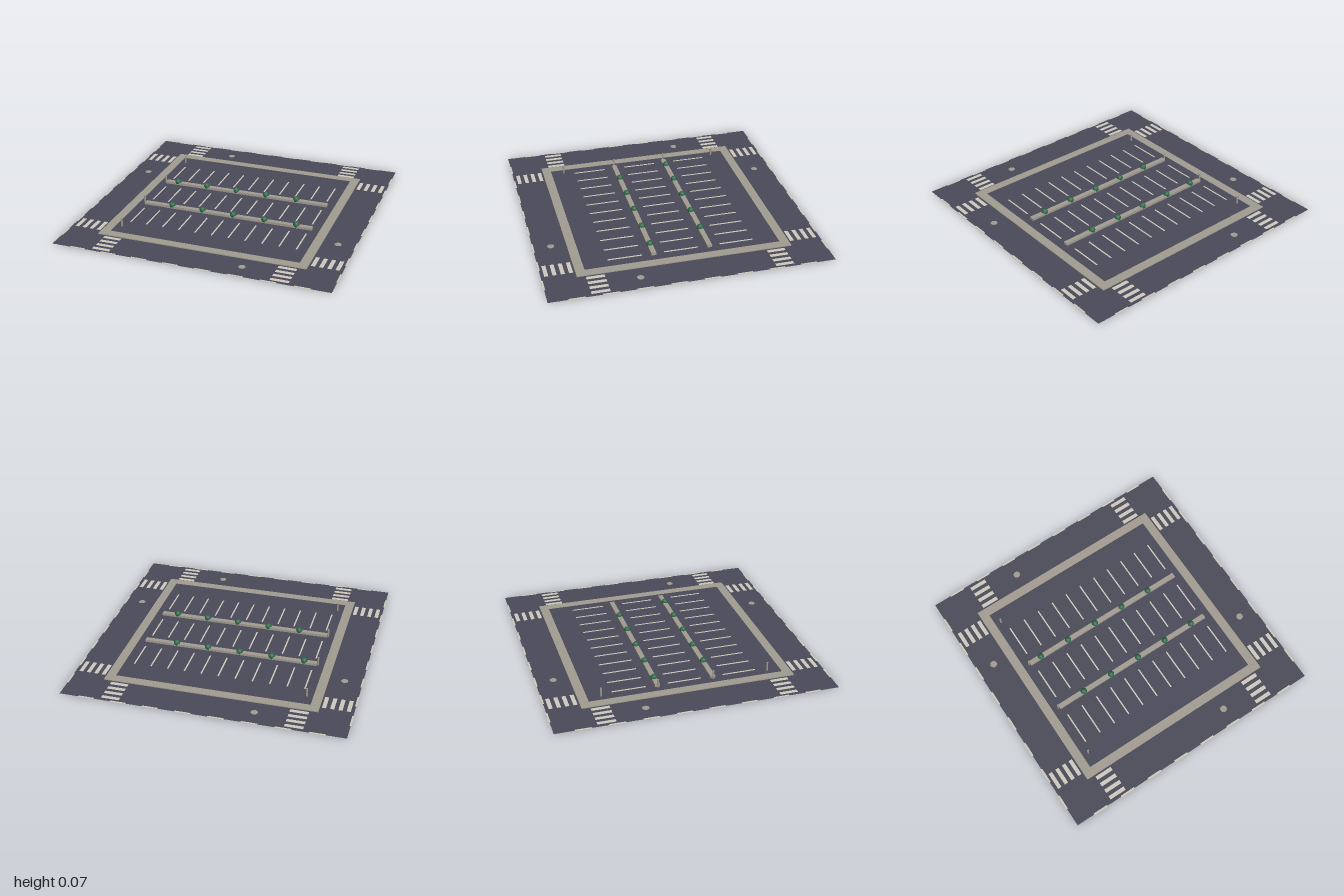
import * as THREE from 'three';

const material = (name, color) => {
  const m = new THREE.MeshStandardMaterial({ color });
  m.name = name;
  return m;
};

export function createModel() {
  const model = new THREE.Group();
  model.name = 'parkingLot';
  const asphalt = material('asphalt', 0x4b4a59);
  const concrete = material('concrete', 0xa39d92);
  const paint = material('road paint', 0xd0cbc0);
  const leaf = material('shrub green', 0x2f6b4a);

  const add = (name, geometry, mat, x, y, z) => {
    const mesh = new THREE.Mesh(geometry, mat);
    mesh.name = name;
    mesh.position.set(x, y, z);
    model.add(mesh);
    return mesh;
  };
  // Box given by its centre in plan and its bottom and top heights
  const slab = (name, mat, x, z, w, d, y0, y1) =>
    add(name, new THREE.BoxGeometry(w, y1 - y0, d), mat, x, (y0 + y1) / 2, z);

  // Surrounding road and the raised lot
  slab('road', asphalt, 0, 0, 1.986, 1.986, 0.0005, 0.0015);
  slab('lotFloor', asphalt, 0, 0, 1.4, 1.4, 0.0003, 0.006);

  // Square sidewalk frame
  const square = (path, h) => path.moveTo(-h, -h).lineTo(h, -h).lineTo(h, h).lineTo(-h, h).closePath();
  const frame = square(new THREE.Shape(), 0.76);
  frame.holes.push(square(new THREE.Path(), 0.695));
  const frameGeometry = new THREE.ExtrudeGeometry(frame, { depth: 0.0075, bevelEnabled: false });
  frameGeometry.rotateX(-Math.PI / 2);
  add('sidewalk', frameGeometry, concrete, 0, 0, 0);

  for (const side of [-1, 1]) {
    // Dashed centre lines along the outer road edges
    for (let i = 0; i < 8; i++) {
      const along = (i - 3.5) * 0.2285;
      slab('laneDash', paint, along, side * 0.993, 0.112, 0.014, 0, 0.0025);
      slab('laneDash', paint, side * 0.993, along, 0.014, 0.112, 0, 0.0025);
    }
    // Crosswalks at each corner
    for (const end of [-1, 1]) {
      for (let i = 0; i < 4; i++) {
        const out = end * (0.787 + i * 0.056);
        slab('crosswalkStripe', paint, side * 0.637, out, 0.128, 0.028, 0, 0.0025);
        slab('crosswalkStripe', paint, out, side * 0.637, 0.028, 0.128, 0, 0.0025);
      }
    }
    // Manhole covers
    const cover = new THREE.CylinderGeometry(0.025, 0.025, 0.003, 12);
    add('manholeCover', cover, concrete, side * 0.348, 0.0015, side * 0.868);
    add('manholeCover', cover, concrete, side * 0.868, 0.0015, side * 0.348);

    // Planted islands with rounded shrubs
    slab('plantingIsland', concrete, 0, side * 0.2, 1.285, 0.036, 0.005, 0.024);
    for (let i = 0; i < 5; i++) {
      const x = (side < 0 ? -0.548 : -0.429) + i * 0.238;
      add('shrub', new THREE.SphereGeometry(0.024, 10, 8), leaf, x, 0.027, side * 0.2);
    }

    // Short posts along the left-hand end of the rows
    for (const z of [0.2, 0.6]) {
      add('post', new THREE.CylinderGeometry(0.007, 0.007, 0.065, 8), concrete, -0.65, 0.0375, side * z);
    }
  }

  // Stall lines: three rows of eleven
  for (const z of [-0.4, 0, 0.4]) {
    for (let i = 0; i < 11; i++) {
      slab('stallLine', paint, (i - 5) * 0.124, z, 0.01, 0.242, 0.005, 0.0085);
    }
  }
  return model;
}
